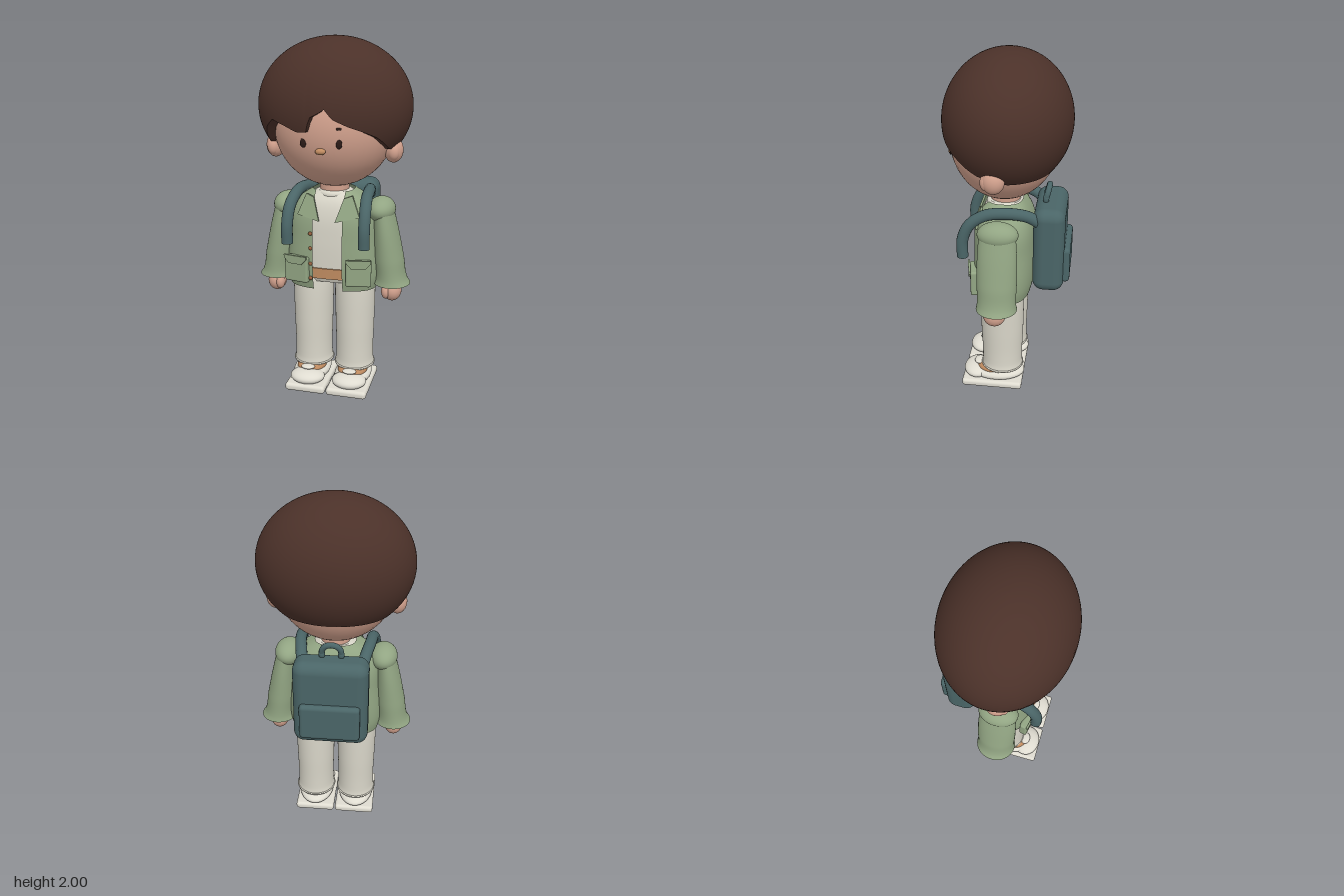
import * as THREE from 'three';
import { RoundedBoxGeometry } from 'three/addons/geometries/RoundedBoxGeometry.js';

const mat = (name, color, side = THREE.FrontSide) => {
  const m = new THREE.MeshStandardMaterial({ color, side });
  m.name = name;
  return m;
};

// Grid surface: point(i, j) around (i) and upward (j)
function surface(point, nu, nv, closed) {
  const pos = [], idx = [], cols = closed ? nu : nu + 1;
  for (let j = 0; j <= nv; j++) for (let i = 0; i < cols; i++) pos.push(...point(i, j));
  for (let j = 0; j < nv; j++) for (let i = 0; i < nu; i++) {
    const k = (i + 1) % cols, a = j * cols, b = a + cols;
    idx.push(a + i, a + k, b + k, a + i, b + k, b + i);
  }
  const g = new THREE.BufferGeometry();
  g.setAttribute('position', new THREE.Float32BufferAttribute(pos, 3));
  g.setIndex(idx);
  g.computeVertexNormals();
  return g;
}

// Loft through rows [y, centreX, radiusX, radiusZ]; power > 2 squares the section,
// open > 0 leaves a front gap of that half width, otherwise the ends are capped
function loft(rows, { cz = 0, power = 2, open = 0, steps = 24, nu = 48 } = {}) {
  const curve = new THREE.CubicInterpolant(rows.map((r) => r[0]), rows.flat(), 4, []);
  const y0 = rows[0][0], y1 = rows[rows.length - 1][0];
  const extra = open ? 0 : 2;
  const nv = steps + 2 * extra;
  const pow = (v) => Math.sign(v) * Math.abs(v) ** (2 / power);
  return surface((i, j) => {
    const t = THREE.MathUtils.clamp((j - extra) / steps, 0, 1);
    const [y, cx, rx, rz] = curve.evaluate(y0 + (y1 - y0) * t);
    const gap = open ? Math.asin(Math.min(0.8, open / rx) ** (power / 2)) : 0;
    const a = gap + (2 * Math.PI - 2 * gap) * (i / nu);
    const k = !open && (j === 0 || j === nv) ? 0 : 1;
    return [cx + k * rx * pow(Math.sin(a)), y, cz + k * rz * pow(Math.cos(a))];
  }, nu, nv, !open);
}

// Hair cap: an ellipsoid cut along a wavy hairline given as [degrees from front, height]
function hairGeometry() {
  const line = [[-180, 1.38], [-97, 1.38], [-82, 1.41], [-64, 1.45], [-52, 1.53], [-40, 1.58], [-28, 1.555],
    [-17, 1.525], [-10, 1.53], [-6.5, 1.605], [0, 1.63], [4, 1.65], [9.5, 1.6], [20, 1.565], [32, 1.535],
    [45, 1.5], [55, 1.46], [66, 1.425], [78, 1.41], [97, 1.38], [180, 1.38]];
  const height = new THREE.LinearInterpolant(line.map((p) => p[0]), line.map((p) => p[1]), 1, []);
  const nu = 180, nv = 34;
  return surface((i, j) => {
    const deg = -180 + (360 * i) / nu, a = THREE.MathUtils.degToRad(deg);
    const low = Math.acos((height.evaluate(deg)[0] - 1.63) / 0.37);
    const polar = low * (1 - Math.max(0, j - 2) / (nv - 2));
    const r = Math.sin(polar) * (j === 0 ? 0.78 : 1); // first ring tucks under to the head
    return [0.425 * r * Math.sin(a), 1.63 + 0.37 * Math.cos(polar), 0.005 + 0.35 * r * Math.cos(a)];
  }, nu, nv, true);
}

export function createModel() {
  const model = new THREE.Group();
  model.name = 'boyWithBackpack';
  const hair = mat('hair brown', 0x4b3129, THREE.DoubleSide);
  const skin = mat('skin', 0xd3a28e);
  const green = mat('jacket green', 0x92a583, THREE.DoubleSide);
  const cream = mat('cream cloth', 0xd9d6c9);
  const white = mat('shoe white', 0xdfdcd1);
  const teal = mat('backpack teal', 0x4a6567);
  const tan = mat('tan leather', 0xbf8b60);
  const dark = mat('eye dark', 0x2b1b17);
  const brown = mat('button brown', 0x96613f);

  const add = (name, geo, m, x = 0, y = 0, z = 0) => {
    const mesh = new THREE.Mesh(geo, m);
    mesh.name = name;
    mesh.position.set(x, y, z);
    model.add(mesh);
    return mesh;
  };
  const ball = (name, m, x, y, z, rx, ry, rz) =>
    add(name, new THREE.SphereGeometry(1, 40, 28), m, x, y, z).scale.set(rx, ry, rz);
  const box = (name, m, x, y, z, w, h, d, r) =>
    add(name, new RoundedBoxGeometry(w, h, d, 5, r), m, x, y, z);
  const plate = (pts, s, depth) => new THREE.ExtrudeGeometry(
    new THREE.Shape(pts.map(([x, y]) => new THREE.Vector2(x * s, y))), { depth, bevelEnabled: false });

  // Head
  ball('face', skin, 0, 1.53, 0.02, 0.335, 0.34, 0.3);
  add('hair', hairGeometry(), hair);
  ball('nose', tan, 0, 1.43, 0.315, 0.028, 0.017, 0.02);
  ball('eyebrow', dark, 0.095, 1.548, 0.307, 0.016, 0.007, 0.005);
  add('neck', new THREE.CylinderGeometry(0.082, 0.082, 0.14, 32), skin, 0, 1.19, 0.02);

  // Shirt, belt and hips
  add('shirt', loft([[0.68, 0, 0.23, 0.145], [0.9, 0, 0.225, 0.15], [1.05, 0, 0.2, 0.14],
    [1.13, 0, 0.15, 0.115], [1.17, 0, 0.09, 0.085]], { cz: 0.02, power: 2.6 }), cream);
  const collar = add('shirtCollar', new THREE.TorusGeometry(0.078, 0.023, 14, 40), cream, 0, 1.15, 0.025);
  collar.rotation.x = Math.PI / 2;
  add('belt', loft([[0.68, 0, 0.24, 0.155], [0.74, 0, 0.24, 0.155]], { cz: 0.02, power: 2.6, steps: 1 }), tan);
  add('hips', loft([[0.65, 0, 0.21, 0.12], [0.7, 0, 0.23, 0.14]], { cz: 0.02, power: 2.6, steps: 2 }), cream);

  // Open jacket
  add('jacket', loft([[0.615, 0, 0.25, 0.152], [0.68, 0, 0.264, 0.167], [0.9, 0, 0.252, 0.172],
    [1.05, 0, 0.235, 0.162], [1.13, 0, 0.185, 0.132], [1.175, 0, 0.115, 0.1]],
  { cz: 0.02, power: 2.7, open: 0.083, nu: 80 }), green);
  ball('jacketUnderside', green, 0, 0.67, -0.02, 0.235, 0.055, 0.125);
  for (const y of [0.685, 0.77, 0.86, 0.945]) ball('button', brown, -0.096, y, 0.19, 0.011, 0.011, 0.009);

  // Backpack
  box('backpackBody', teal, 0, 0.93, -0.238, 0.41, 0.5, 0.175, 0.06);
  box('backpackPocket', teal, 0, 0.84, -0.33, 0.33, 0.21, 0.055, 0.022);
  const handle = add('backpackHandle', new THREE.TorusGeometry(0.052, 0.016, 12, 32, Math.PI), teal, 0, 1.208, -0.213);
  handle.rotation.x = -0.25;
  for (const s of [-1, 1]) ball('handleFoot', teal, 0.052 * s, 1.195, -0.21, 0.017, 0.03, 0.017);

  // Paired parts
  for (const s of [-1, 1]) {
    ball('ear', skin, 0.333 * s, 1.405, 0.04, 0.052, 0.068, 0.06);
    ball('innerEar', skin, 0.338 * s, 1.4, 0.075, 0.032, 0.045, 0.032);
    ball('eye', dark, 0.095 * s, 1.47, 0.302, 0.017, 0.025, 0.007);

    // Arm
    ball('shoulder', green, 0.27 * s, 1.07, 0.028, 0.078, 0.07, 0.112);
    add('sleeve', loft([[0.645, 0.337 * s, 0.104, 0.114], [0.66, 0.335 * s, 0.094, 0.11],
      [0.8, 0.318 * s, 0.082, 0.11], [0.95, 0.3 * s, 0.068, 0.108], [1.07, 0.283 * s, 0.055, 0.1]],
    { cz: 0.028 }), green);
    ball('hand', skin, 0.342 * s, 0.602, 0.04, 0.053, 0.062, 0.062);
    ball('thumb', skin, 0.312 * s, 0.602, 0.075, 0.026, 0.042, 0.034);

    // Lapel following the chest slope
    const lapel = plate([[0.085, 1.145], [0.045, 1.02], [0.175, 1.045], [0.13, 1.16]], s, 0.012);
    const p = lapel.attributes.position;
    for (let i = 0; i < p.count; i++)
      p.setZ(i, p.getZ(i) + 0.196 - 0.3 * (p.getY(i) - 1.02) - 0.2 * Math.abs(p.getX(i)));
    lapel.computeVertexNormals();
    add('lapel', lapel, green);

    // Flap pocket
    const pocket = new THREE.Group();
    pocket.name = 'jacketPocket';
    const bag = new THREE.Mesh(new RoundedBoxGeometry(0.142, 0.15, 0.045, 4, 0.012), green);
    const flap = new THREE.Mesh(plate([[-0.07, 0.082], [0.07, 0.082], [0.068, 0.065], [0.04, 0.035],
      [-0.04, 0.035], [-0.068, 0.065]], s, 0.012), green);
    bag.name = 'pocketBag';
    flap.name = 'pocketFlap';
    flap.position.z = 0.02;
    pocket.add(bag, flap);
    pocket.position.set(0.175 * s, 0.733, 0.178);
    pocket.rotation.y = 0.2 * s;
    model.add(pocket);

    // Backpack strap over the shoulder
    const path = new THREE.CatmullRomCurve3([[0.215, 0.895, 0.232], [0.215, 1.0, 0.23], [0.212, 1.09, 0.19],
      [0.203, 1.145, 0.11], [0.195, 1.16, 0.0], [0.175, 1.14, -0.12], [0.16, 1.09, -0.2]]
      .map(([x, y, z]) => new THREE.Vector3(x * s, y, z)));
    add('backpackStrap', new THREE.TubeGeometry(path, 48, 0.032, 16), teal);
    const end = add('strapEnd', new THREE.CircleGeometry(0.032, 16), teal, 0.215 * s, 0.895, 0.232);
    end.rotation.x = Math.PI / 2;

    // Leg
    const x = 0.124 * s;
    add('trouserLeg', loft([[0.12, x, 0.117, 0.124], [0.135, x, 0.112, 0.12], [0.2, x, 0.108, 0.118],
      [0.4, x, 0.112, 0.124], [0.6, x, 0.115, 0.126], [0.69, x, 0.11, 0.122]], { cz: 0.025 }), cream);
    const cuff = add('trouserCuff', new THREE.TorusGeometry(0.113, 0.006, 8, 48), cream, x, 0.127, 0.025);
    cuff.rotation.x = Math.PI / 2;
    cuff.scale.y = 1.06;
    ball('sock', tan, x, 0.1, 0.075, 0.086, 0.04, 0.105);

    // Shoe
    box('sole', white, 0.1215 * s, 0.022, 0.08, 0.235, 0.044, 0.36, 0.018);
    ball('shoeUpper', white, x, 0.07, 0.06, 0.106, 0.045, 0.168);
    ball('shoeToe', white, x, 0.07, 0.175, 0.1, 0.04, 0.083);
    ball('shoeTongue', white, x, 0.12, 0.165, 0.04, 0.012, 0.03);
  }
  return model;
}
